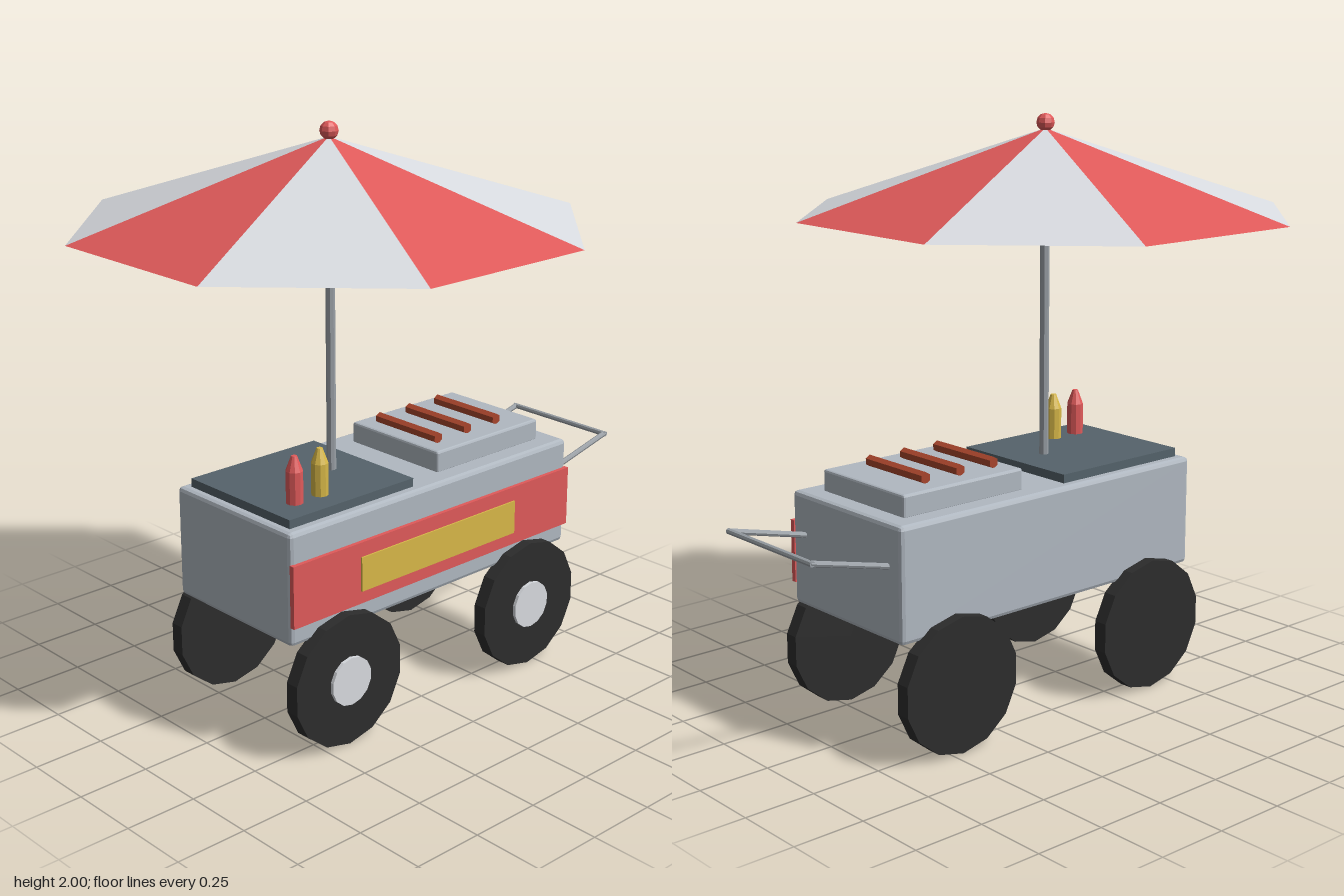
import * as THREE from 'three';
import { RoundedBoxGeometry } from 'three/addons/geometries/RoundedBoxGeometry.js';

const material = (name, color, side = THREE.FrontSide) =>
  new THREE.MeshStandardMaterial({ name, color, side, flatShading: true });

export function createModel() {
  const cart = new THREE.Group();
  cart.name = 'foodCart';

  const steel = material('steel', 0xb0b8c1);
  const red = material('red', 0xe05a5a, THREE.DoubleSide);
  const white = material('white', 0xd8dbe0, THREE.DoubleSide);
  const yellow = material('yellow', 0xd8b848);
  const rubber = material('rubber', 0x2d2d2d);
  const slate = material('slate', 0x55636b);
  const metal = material('metal', 0x9aa0a6);
  const sausageBrown = material('sausageBrown', 0xa8452c);

  const add = (name, geometry, mat, x, y, z, parent = cart) => {
    const mesh = new THREE.Mesh(geometry, mat);
    mesh.name = name;
    mesh.position.set(x, y, z);
    parent.add(mesh);
    return mesh;
  };

  // Straight round bar between two points
  const bar = (name, a, b, radius, mat, parent) => {
    const dir = b.clone().sub(a);
    const mid = a.clone().add(b).multiplyScalar(0.5);
    const mesh = add(name, new THREE.CylinderGeometry(radius, radius, dir.length(), 8),
      mat, mid.x, mid.y, mid.z, parent);
    mesh.quaternion.setFromUnitVectors(new THREE.Vector3(0, 1, 0), dir.normalize());
    return mesh;
  };

  // Body with the sign on its front
  add('body', new RoundedBoxGeometry(1.295, 0.39, 0.575, 1, 0.015), steel, 0.028, 0.6, 0);
  add('frontPanel', new THREE.BoxGeometry(1.295, 0.215, 0.018), red, 0.028, 0.583, 0.293);
  add('signPlate', new THREE.BoxGeometry(0.725, 0.12, 0.008), yellow, 0.03, 0.58, 0.304);

  // Wheels, with hubs on the front pair
  const tireGeometry = new THREE.CylinderGeometry(0.233, 0.233, 0.05, 14).rotateX(Math.PI / 2);
  const hubGeometry = new THREE.CylinderGeometry(0.085, 0.085, 0.02, 14).rotateX(Math.PI / 2);
  for (const x of [-0.405, 0.46]) {
    for (const side of [1, -1]) add('wheel', tireGeometry, rubber, x, 0.233, side * 0.301);
    add('hub', hubGeometry, white, x, 0.233, 0.328);
  }

  // Counter with two sauce bottles
  add('counter', new THREE.BoxGeometry(0.54, 0.03, 0.5), slate, -0.318, 0.81, 0);
  const bottleProfile = [[0, 0], [0.029, 0], [0.029, 0.11], [0.01, 0.16], [0, 0.16]]
    .map(([r, y]) => new THREE.Vector2(r, y));
  const bottleGeometry = new THREE.LatheGeometry(bottleProfile, 10);
  add('ketchupBottle', bottleGeometry, red, -0.478, 0.825, 0.147);
  add('mustardBottle', bottleGeometry, yellow, -0.37, 0.825, 0.147);

  // Grill with three sausages
  add('grill', new RoundedBoxGeometry(0.5, 0.08, 0.425, 1, 0.008), steel, 0.353, 0.828, 0);
  const sausageGeometry = new THREE.CylinderGeometry(0.02, 0.02, 0.293, 6).rotateX(Math.PI / 2);
  for (const x of [0.172, 0.316, 0.46]) add('sausage', sausageGeometry, sausageBrown, x, 0.885, 0);

  // Push handle
  const handle = new THREE.Group();
  handle.name = 'handle';
  cart.add(handle);
  for (const z of [0.22, -0.22]) {
    bar('handleArm', new THREE.Vector3(0.655, 0.65, z), new THREE.Vector3(0.97, 0.727, z), 0.01, metal, handle);
  }
  bar('handleGrip', new THREE.Vector3(0.967, 0.726, -0.228), new THREE.Vector3(0.967, 0.726, 0.228), 0.01, metal, handle);

  // Umbrella with eight alternating panels
  const umbrella = new THREE.Group();
  umbrella.name = 'umbrella';
  umbrella.position.x = -0.188;
  cart.add(umbrella);
  add('pole', new THREE.CylinderGeometry(0.016, 0.016, 1.0, 8), metal, 0, 1.32, 0, umbrella);
  const step = Math.PI / 4;
  for (let i = 0; i < 8; i++) {
    add('canopyPanel', new THREE.ConeGeometry(0.858, 0.282, 1, 1, true, (i - 0.5) * step, step),
      i % 2 ? white : red, 0, 1.809, 0, umbrella);
  }
  add('finial', new THREE.SphereGeometry(0.031, 8, 6), red, 0, 1.969, 0, umbrella);

  return cart;
}
